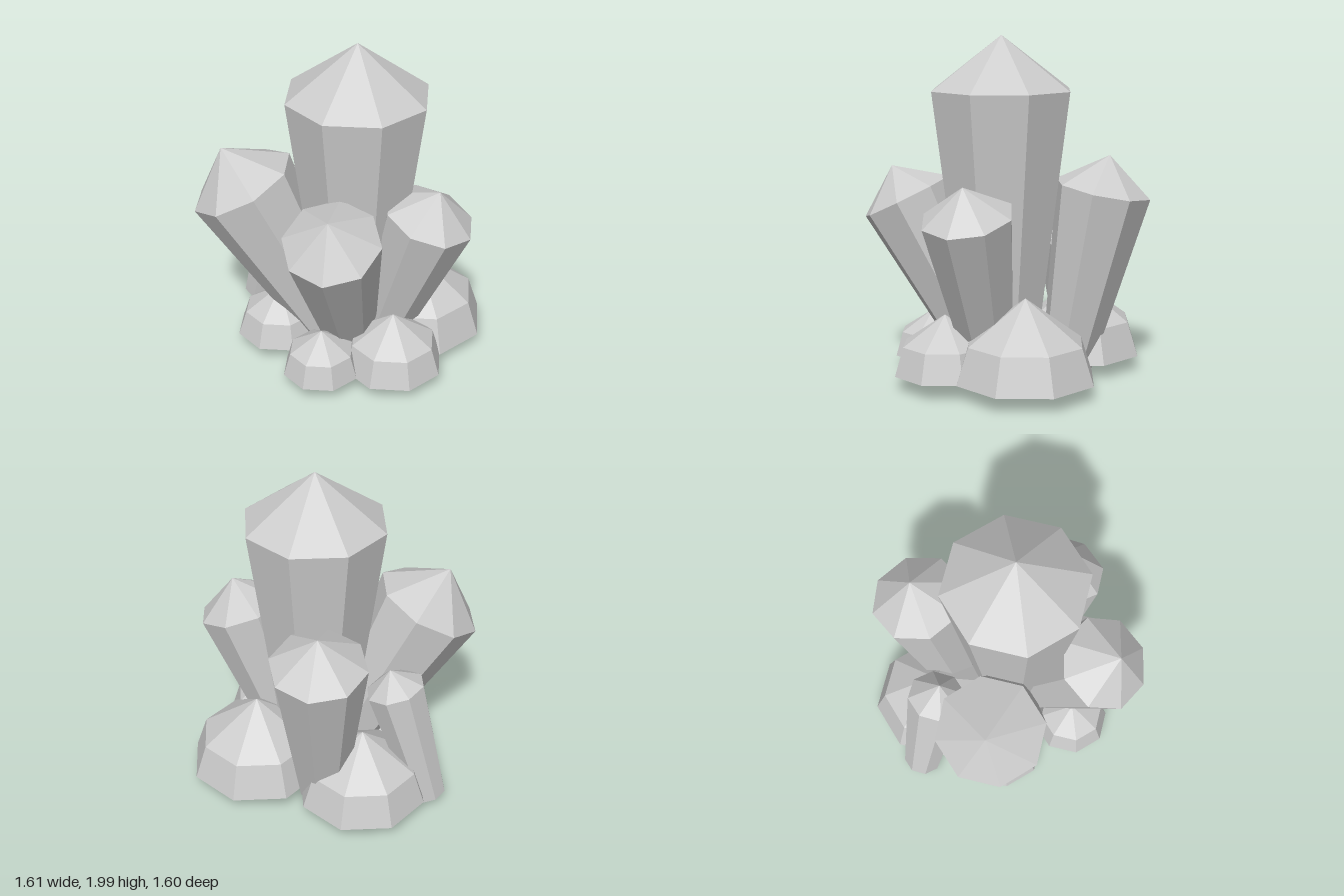
import * as THREE from 'three';

const SIDES = 8;
const UP = new THREE.Vector3(0, 1, 0);

export function createModel() {
  const model = new THREE.Group();
  const material = new THREE.MeshStandardMaterial({ color: 0xcccccc, flatShading: true });

  // Eight-sided faceted spike: flat base, flared or sloped wall, pointed cap
  function spike(name, base, tip, baseRadius, shoulderRadius, capHeight, twist = 0) {
    const from = new THREE.Vector3(...base);
    const axis = new THREE.Vector3(...tip).sub(from);
    const length = axis.length();
    const profile = [
      [0, 0],
      [baseRadius, 0],
      [shoulderRadius, length - capHeight],
      [0, length],
    ].map(([r, y]) => new THREE.Vector2(r, y));
    const geometry = new THREE.LatheGeometry(profile, SIDES);
    geometry.rotateY(THREE.MathUtils.degToRad(twist));
    const mesh = new THREE.Mesh(geometry, material);
    mesh.name = name;
    mesh.position.copy(from);
    mesh.quaternion.setFromUnitVectors(UP, axis.normalize());
    model.add(mesh);
  }

  // Tall crystals, wider at the shoulder than at the foot
  spike('mainCrystal', [0.09, 0.1, 0.01], [0.09, 2, 0.01], 0.21, 0.42, 0.31);
  spike('leftCrystal', [-0.03, 0.08, 0.07], [-0.62, 1.33, 0.33], 0.16, 0.32, 0.25);
  spike('frontCrystal', [0.09, 0.09, 0.09], [0.235, 1.24, 0.645], 0.15, 0.28, 0.2, 16);
  spike('rightCrystal', [0.24, 0.1, 0.01], [0.61, 1.2, 0.01], 0.14, 0.265, 0.18);
  spike('backCrystal', [-0.07, 0.09, -0.34], [-0.13, 1.32, -0.57], 0.15, 0.28, 0.2, 8);
  spike('smallCrystal', [-0.67, 0.045, -0.15], [-0.42, 0.9, -0.16], 0.115, 0.175, 0.12);

  // Low pointed mounds around the foot: x, z, base radius, shoulder radius, shoulder y, tip y
  const mounds = [
    ['backRightMound', 0.37, -0.26, 0.41, 0.34, 0.31, 0.56],
    ['backLeftMound', -0.31, -0.31, 0.385, 0.32, 0.3, 0.53],
    ['frontMound', 0.09, 0.46, 0.23, 0.19, 0.24, 0.365],
    ['frontRightMound', 0.43, 0.21, 0.3, 0.25, 0.265, 0.435],
    ['frontLeftMound', -0.325, 0.21, 0.265, 0.215, 0.25, 0.4],
  ];
  for (const [name, x, z, baseRadius, shoulderRadius, shoulderY, tipY] of mounds) {
    spike(name, [x, 0.1, z], [x, tipY, z], baseRadius, shoulderRadius, tipY - shoulderY);
  }

  return model;
}
